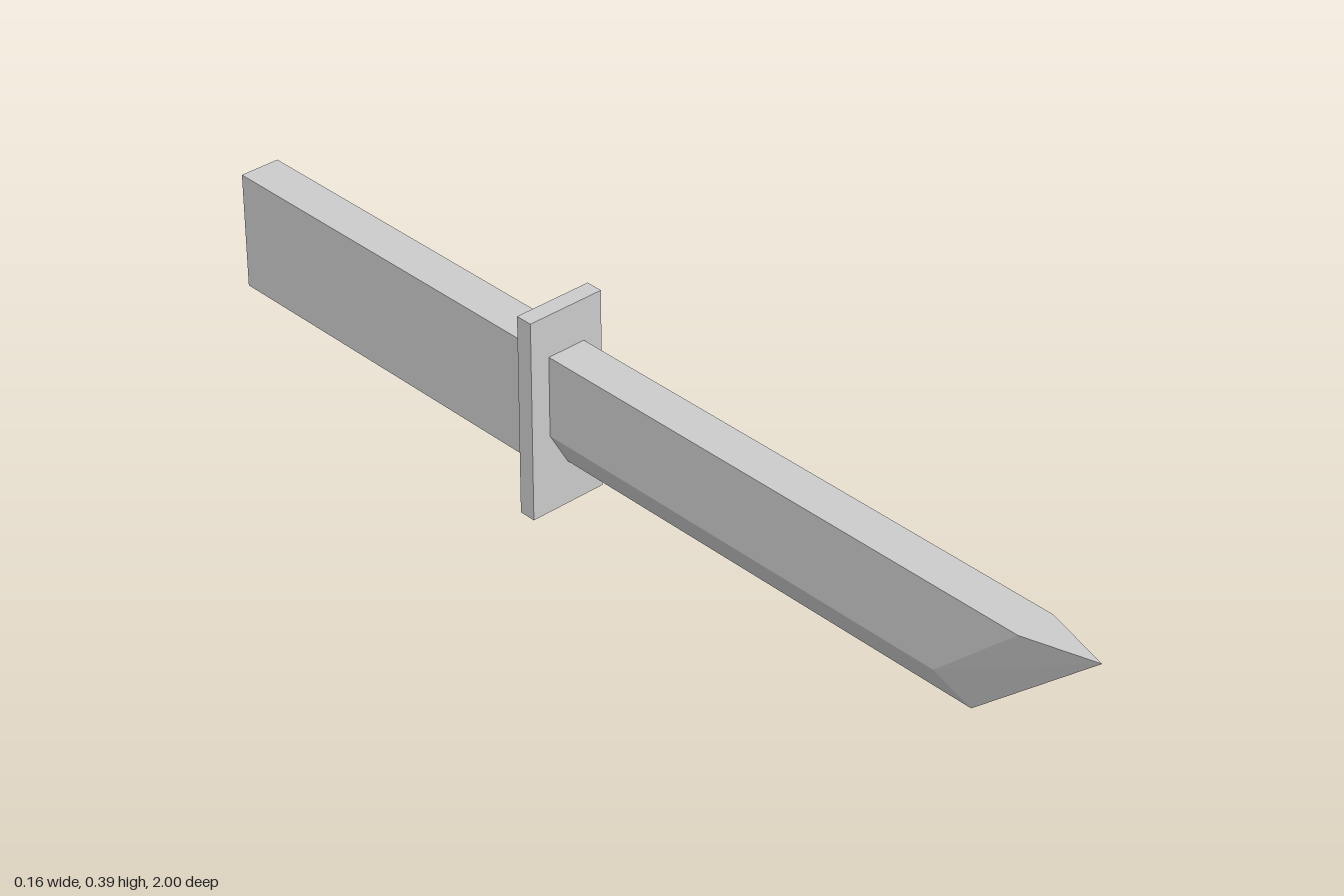
import * as THREE from 'three';

const material = new THREE.MeshStandardMaterial({ color: 0xcccccc, flatShading: true });

function addBox(group, name, [x0, x1], [y0, y1], [z0, z1]) {
  const mesh = new THREE.Mesh(new THREE.BoxGeometry(x1 - x0, y1 - y0, z1 - z0), material);
  mesh.position.set((x0 + x1) / 2, (y0 + y1) / 2, (z0 + z1) / 2);
  mesh.name = name;
  group.add(mesh);
}

// Blade: a five-sided section whose front end is swept back and bevelled
function bladeGeometry(backZ) {
  const w = 0.039, top = 0.309, shoulder = 0.153, edge = 0.085;
  // x, y and front z of each corner, counter-clockwise seen from the front
  const front = [
    [0, top, 1], [-w, top, 0.867], [-w, shoulder, 0.7],
    [0, edge, 0.748], [w, shoulder, 0.7], [w, top, 0.867],
  ];
  const back = front.map(([x, y]) => [x, y, backZ]);
  const n = front.length;
  const points = [];
  const tri = (a, b, c) => points.push(...a, ...b, ...c);
  for (let i = 0; i < n; i++) {
    const j = (i + 1) % n;
    tri(back[i], back[j], front[j]);
    tri(back[i], front[j], front[i]);
  }
  for (let i = 1; i < n - 1; i++) {
    tri(front[0], front[i], front[i + 1]);
    tri(back[0], back[i + 1], back[i]);
  }
  const geometry = new THREE.BufferGeometry();
  geometry.setAttribute('position', new THREE.Float32BufferAttribute(points, 3));
  geometry.computeVertexNormals();
  return geometry;
}

export function createModel() {
  const group = new THREE.Group();
  group.name = 'knife';

  const blade = new THREE.Mesh(bladeGeometry(-0.185), material);
  blade.name = 'blade';
  group.add(blade);

  addBox(group, 'guard', [-0.078, 0.078], [0, 0.39], [-0.218, -0.185]);
  addBox(group, 'handle', [-0.04, 0.04], [0.082, 0.311], [-1, -0.218]);
  return group;
}
